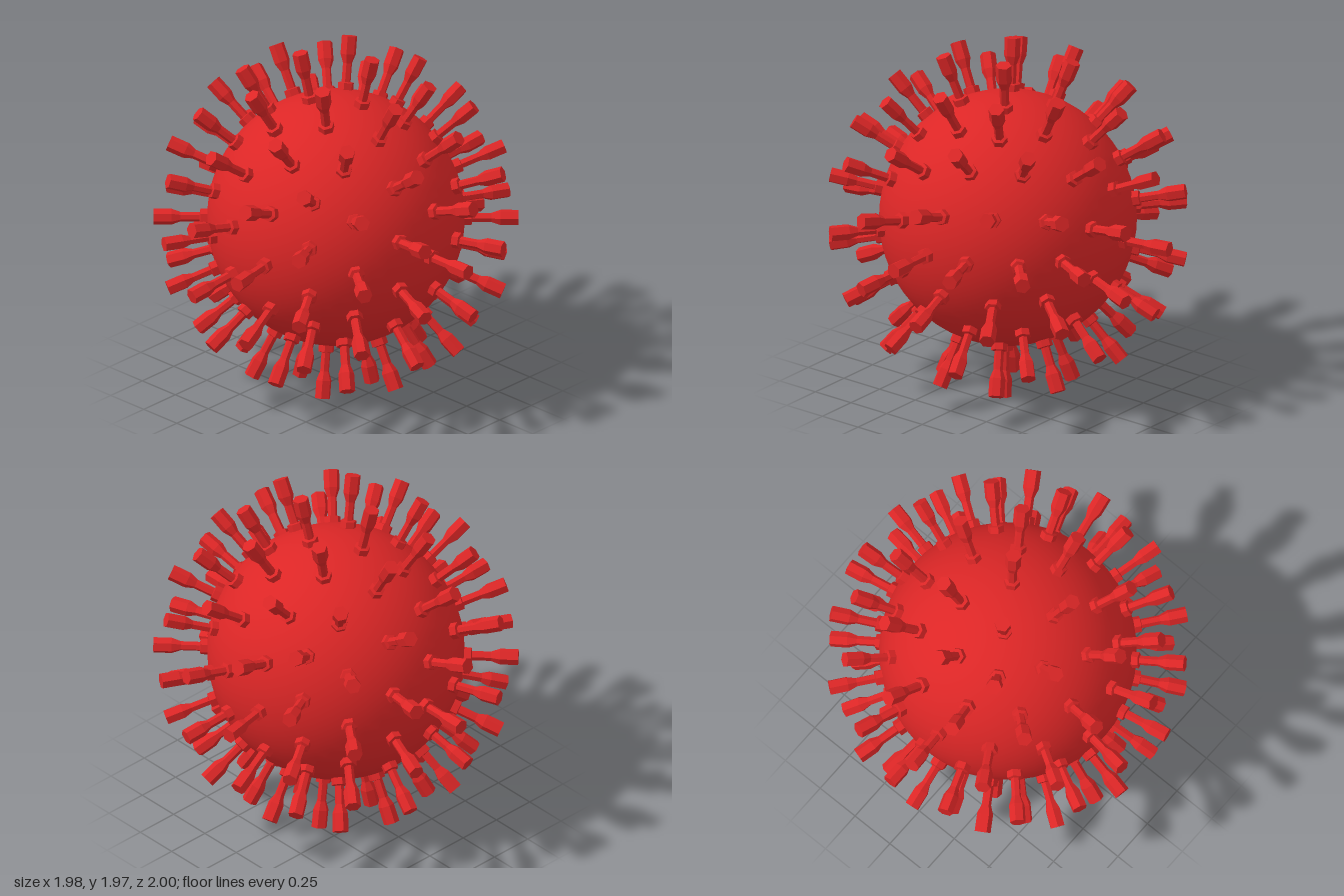
import * as THREE from 'three';
import { mergeVertices } from 'three/addons/utils/BufferGeometryUtils.js';

const COLOR = 0xdc2626;

// Six-sided spike along +y: collar, thin shaft, flared head with flat cap
function spikeGeometry() {
  const profile = [
    [0, 0.66], [0.045, 0.66], [0.045, 0.742], [0.026, 0.746],
    [0.026, 0.85], [0.044, 0.9], [0.044, 1], [0, 1],
  ].map(([r, y]) => new THREE.Vector2(r, y));
  return new THREE.LatheGeometry(profile, 6);
}

// The 92 corners of a subdivided icosahedron, turned so one corner points to +z
function spikeDirections() {
  const ico = new THREE.IcosahedronGeometry(1, 2);
  ico.deleteAttribute('uv');
  ico.deleteAttribute('normal');
  ico.rotateX(Math.atan(2 / (1 + Math.sqrt(5))));
  ico.rotateZ(Math.PI / 2);
  const corners = mergeVertices(ico, 1e-3).getAttribute('position');
  return Array.from({ length: corners.count }, (_, i) =>
    new THREE.Vector3().fromBufferAttribute(corners, i).normalize());
}

export function createModel() {
  const group = new THREE.Group();
  const core = new THREE.Mesh(
    new THREE.SphereGeometry(0.706, 48, 32),
    new THREE.MeshStandardMaterial({ color: COLOR }));
  core.name = 'core';
  core.position.y = 1;
  group.add(core);

  const spikes = new THREE.Group();
  spikes.name = 'spikes';
  spikes.position.y = 1;
  group.add(spikes);

  const geometry = spikeGeometry();
  const material = new THREE.MeshStandardMaterial({ color: COLOR, flatShading: true });
  const up = new THREE.Vector3(0, 1, 0);
  for (const direction of spikeDirections()) {
    const spike = new THREE.Mesh(geometry, material);
    spike.name = 'spike';
    spike.quaternion.setFromUnitVectors(up, direction);
    spikes.add(spike);
  }
  return group;
}
